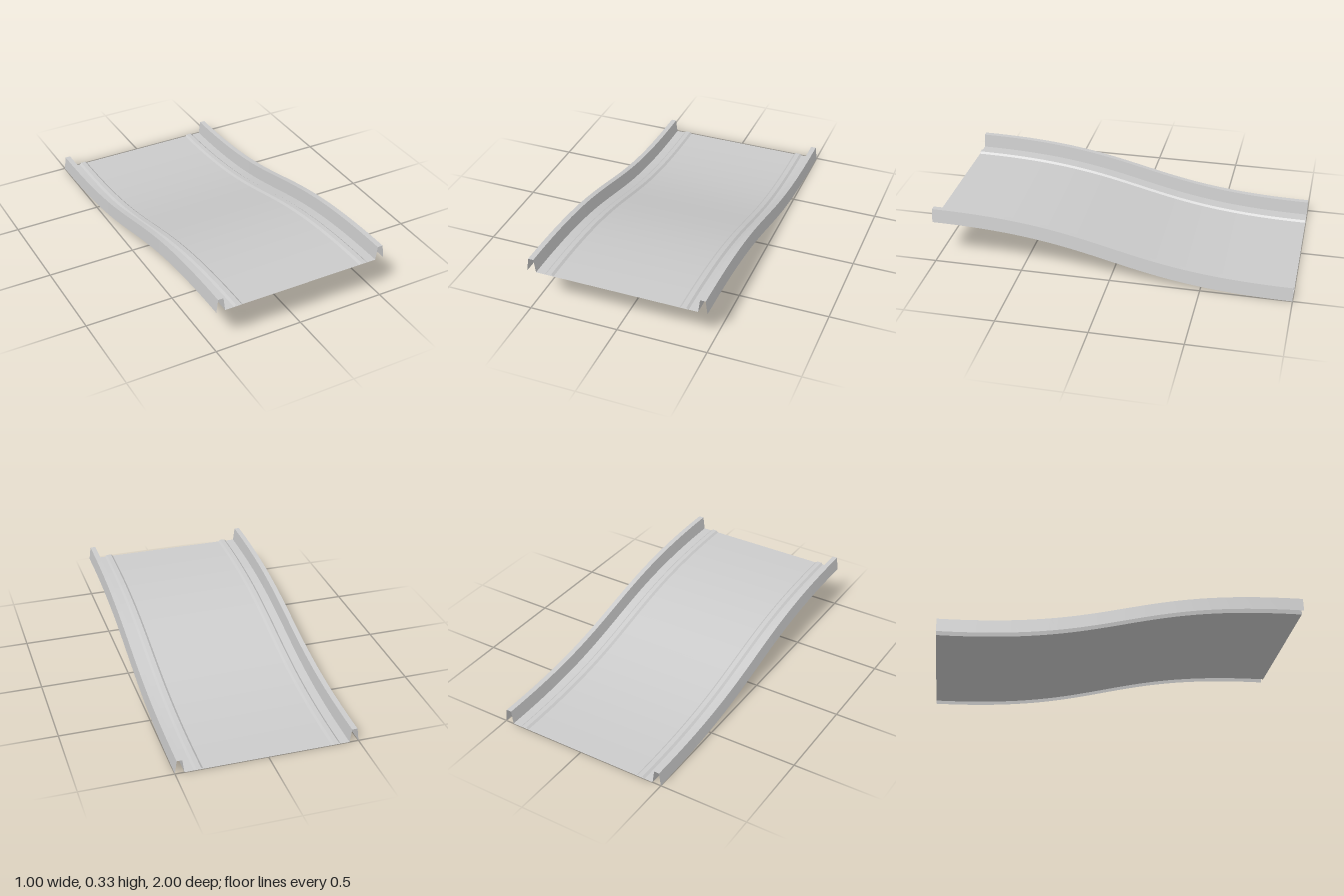
import * as THREE from 'three';

const STEPS = 40;

// S-shaped centre line of the ramp: (z, y), low at the back, high at the front
const slope = new THREE.CubicBezierCurve(
  new THREE.Vector2(-1, 0), new THREE.Vector2(0, 0),
  new THREE.Vector2(0, 0.25), new THREE.Vector2(1, 0.25)
);

// Sweep an open cross-section of [x, y] points along the slope.
// Each profile segment has its own vertices, so its edges stay sharp
// while the surface is smooth along its length.
function sweep(name, profile, material) {
  const stations = slope.getPoints(STEPS);
  const positions = [];
  const index = [];
  for (let s = 0; s < profile.length - 1; s++) {
    const base = positions.length / 3;
    for (const p of stations) {
      for (const [x, y] of [profile[s], profile[s + 1]]) positions.push(x, p.y + y, p.x);
    }
    for (let i = 0; i < STEPS; i++) {
      const a = base + i * 2;
      index.push(a, a + 2, a + 1, a + 1, a + 2, a + 3);
    }
  }
  const geometry = new THREE.BufferGeometry();
  geometry.setAttribute('position', new THREE.Float32BufferAttribute(positions, 3));
  geometry.setIndex(index);
  geometry.computeVertexNormals();
  const mesh = new THREE.Mesh(geometry, material);
  mesh.name = name;
  return mesh;
}

// Mirror a profile across x = 0, keeping x increasing
const mirror = (profile) => profile.map(([x, y]) => [-x, y]).reverse();

export function createModel() {
  const group = new THREE.Group();
  group.name = 'curvedRamp';
  const material = new THREE.MeshStandardMaterial({ color: 0xcccccc, side: THREE.DoubleSide });

  // Thin road surface
  group.add(sweep('deck', [[-0.45, 0], [0.45, 0]], material));

  // Raised lane strips and hollow side rails, open underneath
  const strip = [[0.35, 0], [0.362, 0.01], [0.388, 0.01], [0.4, 0]];
  const rail = [[0.45, 0], [0.46, 0.077], [0.49, 0.077], [0.5, 0]];
  group.add(sweep('leftStrip', strip, material));
  group.add(sweep('rightStrip', mirror(strip), material));
  group.add(sweep('leftRail', rail, material));
  group.add(sweep('rightRail', mirror(rail), material));

  return group;
}
